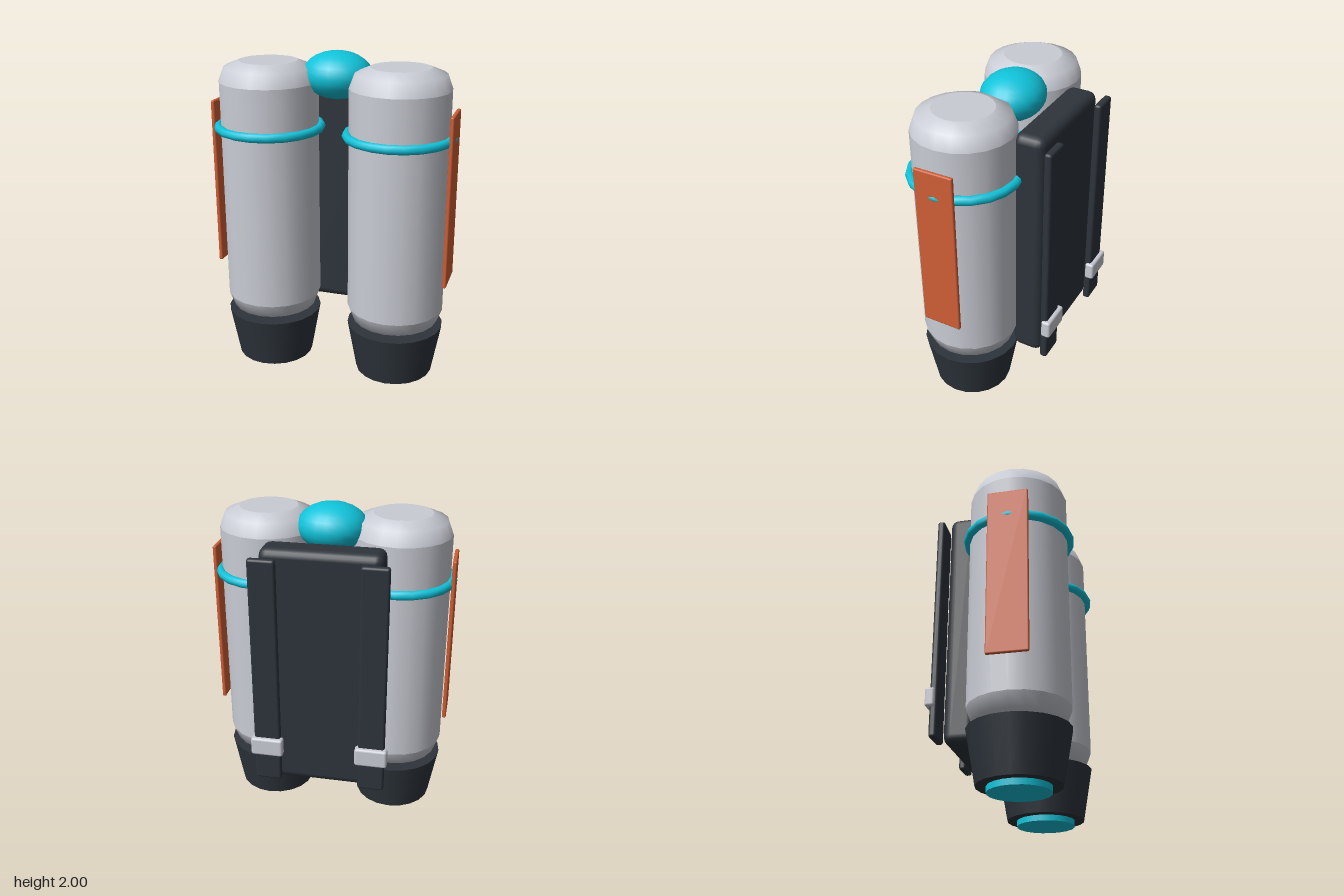
import * as THREE from 'three';
import { mergeGeometries } from 'three/addons/utils/BufferGeometryUtils.js';
import { RoundedBoxGeometry } from 'three/addons/geometries/RoundedBoxGeometry.js';

const SIDES = 20;

function material(name, color) {
  const m = new THREE.MeshStandardMaterial({ color });
  m.name = name;
  return m;
}

// Turned shape with smooth sections separated by sharp edges; each section lists [radius, y] upwards.
function turned(sections) {
  return mergeGeometries(sections.map((s) =>
    new THREE.LatheGeometry(s.map(([r, y]) => new THREE.Vector2(r, y)), SIDES)));
}

export function createModel() {
  const shell = material('light grey shell', 0xc9ccd4);
  const dark = material('dark charcoal', 0x2d343b);
  const cyan = material('cyan', 0x10c3da);
  const orange = material('orange', 0xd05e35);

  const model = new THREE.Group();
  model.name = 'jetPack';
  const add = (parent, name, geometry, mat, x, y, z) => {
    const mesh = new THREE.Mesh(geometry, mat);
    mesh.name = name;
    mesh.position.set(x, y, z);
    parent.add(mesh);
    return mesh;
  };
  const box = (w, h, d, r, n = 2) => new RoundedBoxGeometry(w, h, d, n, r);

  // Shared geometries
  const tankGeo = turned([
    [[0, 0.35], [0.175, 0.35]],
    [[0.175, 0.35], [0.263, 0.386], [0.295, 0.47]],
    [[0.295, 0.47], [0.295, 1.82]],
    [[0.295, 1.82], [0.263, 1.904], [0.175, 1.94]],
    [[0.175, 1.94], [0, 1.94]],
  ]);
  const nozzleGeo = new THREE.CylinderGeometry(0.295, 0.238, 0.315, SIDES);
  const glowGeo = new THREE.CylinderGeometry(0.178, 0.178, 0.06, SIDES);
  const ringGeo = new THREE.TorusGeometry(0.307, 0.028, 8, SIDES).rotateX(Math.PI / 2);
  const plateGeo = box(0.024, 1.03, 0.24, 0.008, 1);
  const strapGeo = box(0.16, 1.43, 0.045, 0.015);
  const buckleGeo = box(0.195, 0.115, 0.058, 0.015);

  // Left and right boosters with their straps
  for (const s of [1, -1]) {
    const side = s > 0 ? 'left' : 'right';
    const booster = new THREE.Group();
    booster.name = side + 'Booster';
    booster.position.set(0.4 * s, 0, 0.105);
    model.add(booster);
    add(booster, 'tank', tankGeo, shell, 0, 0, 0);
    add(booster, 'nozzle', nozzleGeo, dark, 0, 0.1925, 0);
    add(booster, 'exhaustGlow', glowGeo, cyan, 0, 0.03, 0);
    add(booster, 'tankRing', ringGeo, cyan, 0, 1.545, 0);
    add(booster, 'sidePlate', plateGeo, orange, 0.317 * s, 1.185, 0);

    const harness = new THREE.Group();
    harness.name = side + 'Harness';
    harness.position.x = 0.318 * s;
    model.add(harness);
    add(harness, 'strap', strapGeo, dark, 0, 1.065, -0.395);
    add(harness, 'buckle', buckleGeo, shell, 0, 0.588, -0.414);
  }

  // Back panel and the domed core between the tanks
  add(model, 'backPanel', box(0.71, 1.5, 0.19, 0.05), dark, 0, 1.07, -0.255);
  const core = add(model, 'core', new THREE.SphereGeometry(1, SIDES, 14), cyan, 0, 1.86, 0.022);
  core.scale.set(0.21, 0.14, 0.188);

  return model;
}
